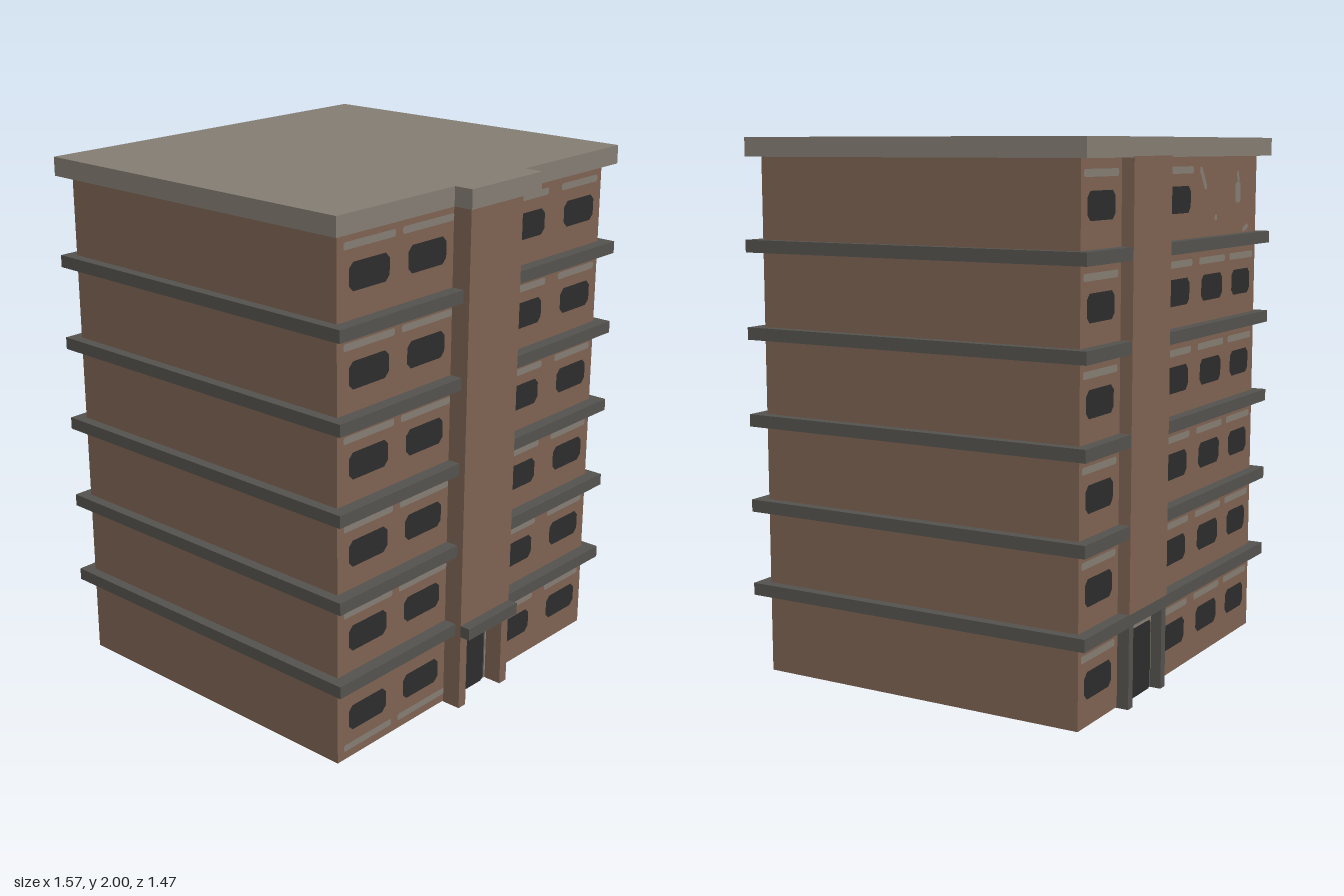
import * as THREE from 'three';

const mat = (name, color) => {
  const m = new THREE.MeshStandardMaterial({ color });
  m.name = name;
  return m;
};

export function createModel() {
  const model = new THREE.Group();
  model.name = 'apartmentBlock';
  const wall = mat('brownWall', 0x7f6453);
  const stone = mat('paleStone', 0x857e74);
  const ledge = mat('darkLedge', 0x55534f);
  const glass = mat('darkGlass', 0x2d2d2d);
  const blue = mat('bluePane', 0x627ca0);

  // Box given by its limits on each axis
  const box = (name, m, x0, x1, y0, y1, z0, z1) => {
    const mesh = new THREE.Mesh(new THREE.BoxGeometry(x1 - x0, y1 - y0, z1 - z0), m);
    mesh.position.set((x0 + x1) / 2, (y0 + y1) / 2, (z0 + z1) / 2);
    mesh.name = name;
    model.add(mesh);
    return mesh;
  };

  // Thin plate with clipped corners, facing front, back or down
  const plate = (name, m, w, h, cut, x, y, z, face) => {
    const a = w / 2, b = h / 2, c = cut;
    const shape = new THREE.Shape([
      [-a + c, -b], [a - c, -b], [a, -b + c], [a, b - c],
      [a - c, b], [-a + c, b], [-a, b - c], [-a, -b + c],
    ].map(p => new THREE.Vector2(...p)));
    const mesh = new THREE.Mesh(new THREE.ShapeGeometry(shape), m);
    if (face === 'back') mesh.rotation.y = Math.PI;
    if (face === 'down') mesh.rotation.x = Math.PI / 2;
    mesh.position.set(x, y, z);
    mesh.name = name;
    model.add(mesh);
    return mesh;
  };

  // Main block and roof slab
  box('mainBlock', wall, -0.74, 0.74, 0.004, 1.94, -0.69, 0.62);
  box('roofSlab', stone, -0.785, 0.785, 1.93, 2, -0.735, 0.66);
  box('roofNose', stone, -0.197, 0.197, 1.93, 2, 0.65, 0.735);

  // Floor ledges running round the block
  const ledgeBottoms = [0.3, 0.62, 0.942, 1.265, 1.585];
  for (const y of ledgeBottoms) box('floorLedge', ledge, -0.78, 0.78, y, y + 0.046, -0.735, 0.67);

  // Front stair tower on two piers, with canopy and recessed door
  box('frontTower', wall, -0.148, 0.145, 0.3, 1.935, 0.6, 0.695);
  box('entrancePier', wall, -0.148, -0.108, 0, 0.3, 0.6, 0.695);
  box('entrancePier', wall, 0.105, 0.145, 0, 0.3, 0.6, 0.695);
  box('entranceCanopy', ledge, -0.148, 0.145, 0.3, 0.346, 0.69, 0.735);
  plate('doorSurround', stone, 0.213, 0.296, 0, -0.0015, 0.15, 0.623, 'front');
  plate('doorFrame', ledge, 0.19, 0.27, 0.012, -0.0015, 0.137, 0.626, 'front');
  plate('frontDoor', glass, 0.168, 0.25, 0.012, -0.0015, 0.127, 0.629, 'front');

  // Back stair tower over the rear door
  box('backTower', wall, 0.148, 0.448, 0.346, 1.935, -0.737, -0.68);
  box('rearJamb', ledge, 0.148, 0.183, 0, 0.3, -0.735, -0.68);
  box('rearJamb', ledge, 0.413, 0.448, 0, 0.3, -0.735, -0.68);
  plate('rearDoorSurround', stone, 0.23, 0.29, 0, 0.298, 0.15, -0.693, 'back');
  plate('rearDoor', glass, 0.205, 0.26, 0.01, 0.298, 0.132, -0.697, 'back');

  // Windows with pale strips: [x centre, window width, strip x centre, strip width]
  const front = [
    [-0.585, 0.2, -0.583, 0.255], [-0.29, 0.2, -0.285, 0.268],
    [0.288, 0.185, 0.288, 0.225], [0.597, 0.19, 0.597, 0.23],
  ];
  const back = [
    [0.6, 0.2, 0.6, 0.25], [-0.01, 0.195, -0.01, 0.24],
    [-0.313, 0.195, -0.313, 0.24], [-0.593, 0.18, -0.593, 0.23],
  ];
  const rows = [0.15, 0.475, 0.798, 1.12, 1.44, 1.775];
  const strips = [0.25, 0.575, 0.9, 1.22, 1.543, 1.882];
  rows.forEach((y, floor) => {
    for (const [x, w, sx, sw] of front) {
      const low = floor === 0 && x < 0; // ground floor right side has its strip below
      plate('window', glass, w, 0.098, 0.02, x, low ? 0.16 : y, 0.623, 'front');
      plate('windowStrip', stone, sw, 0.026, 0.006, sx, low ? 0.05 : strips[floor], 0.623, 'front');
    }
    for (const [x, w, sx, sw] of back) {
      if (floor === 5 && x < -0.2) continue; // bare wall on the top floor
      plate('rearWindow', glass, w, 0.098, 0.02, x, y, -0.693, 'back');
      plate('rearWindowStrip', stone, sw, 0.026, 0.006, sx, strips[floor], -0.693, 'back');
    }
  });

  // Worn patches on the bare rear wall
  for (const [x, y, w, h, tilt] of [
    [-0.22, 1.85, 0.025, 0.1, 0.6], [-0.55, 1.79, 0.05, 0.08, 0], [-0.34, 1.7, 0.025, 0.025, 0],
    [-0.55, 1.85, 0.02, 0.05, 0.2], [-0.63, 1.65, 0.06, 0.02, 0.3],
  ]) plate('wornPatch', stone, w, h, 0.009, x, y, -0.693, 'back').rotation.z = tilt;

  // Underside: blue panes on a dark grid in the front half
  plate('undersideGrid', ledge, 1.48, 0.68, 0, 0, 0.002, 0.28, 'down');
  for (const x of [-0.485, 0.035, 0.53]) {
    for (const z of [0.11, 0.445]) {
      plate('undersidePane', blue, x > 0.4 ? 0.42 : 0.46, z > 0.3 ? 0.31 : 0.29, 0, x, 0, z, 'down');
    }
  }
  // Underside: marks in the rear half
  plate('undersideBar', ledge, 0.62, 0.05, 0, 0.41, 0.001, -0.5, 'down');
  plate('undersideBar', ledge, 0.06, 0.34, 0, 0.41, 0, -0.48, 'down');
  plate('undersidePatch', ledge, 0.13, 0.35, 0.04, -0.17, 0.001, -0.5, 'down');
  plate('undersideHatch', glass, 0.18, 0.13, 0, -0.65, 0.001, -0.625, 'down');

  return model;
}
